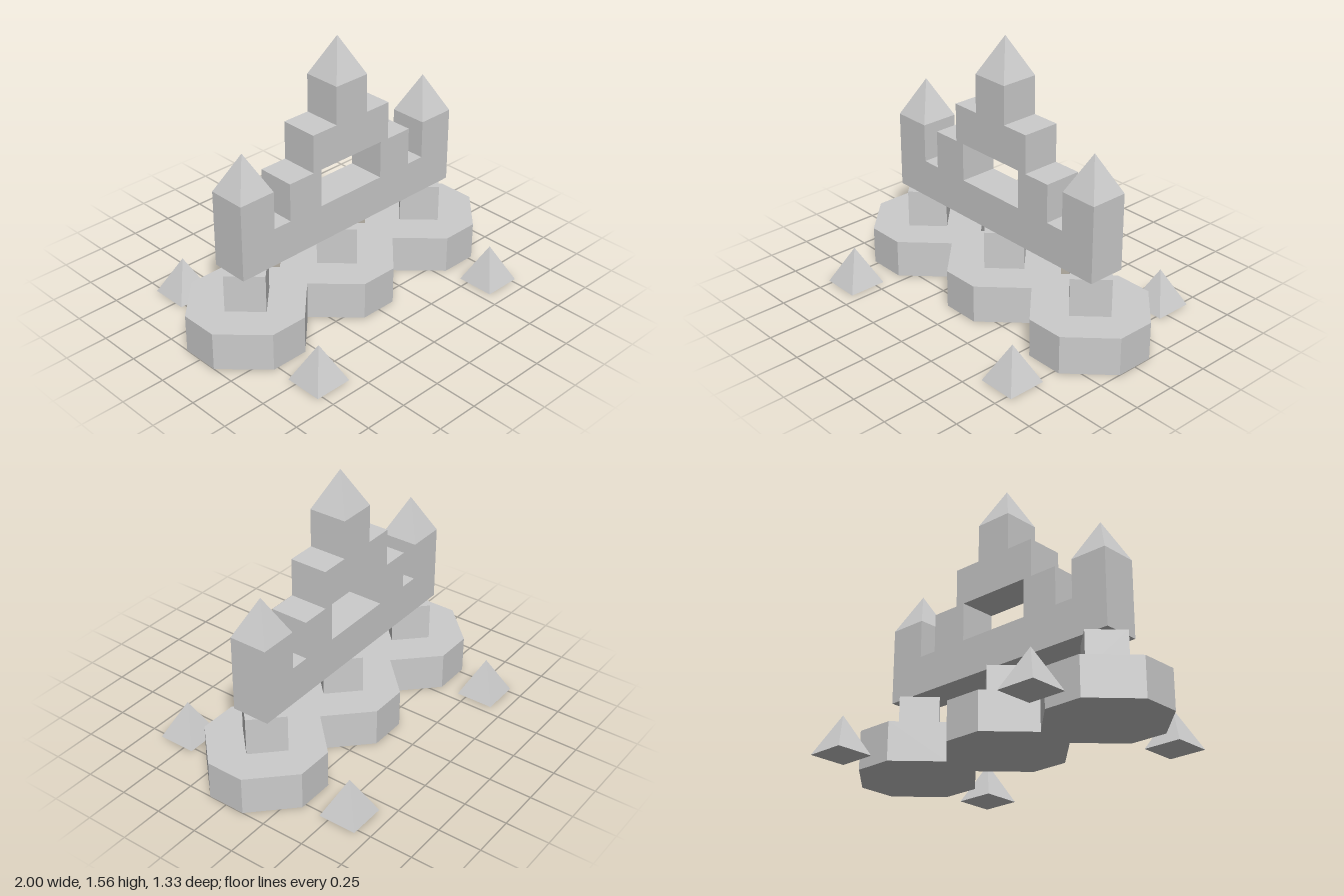
import * as THREE from 'three';

const U = 1 / 9; // building grid unit

export function createModel() {
  const model = new THREE.Group();
  const material = new THREE.MeshStandardMaterial({ color: 0xcccccc, flatShading: true });

  const add = (name, geometry, x, y, z) => {
    const mesh = new THREE.Mesh(geometry, material);
    mesh.name = name;
    mesh.position.set(x * U, y * U, z * U);
    model.add(mesh);
  };
  const polygon = (points) => points.map(([x, y]) => new THREE.Vector2(x * U, y * U));
  const extrude = (shape, depth) =>
    new THREE.ExtrudeGeometry(shape, { depth: depth * U, bevelEnabled: false });

  // Octagonal base slab with cut corners
  const slab = extrude(new THREE.Shape(polygon([
    [3, -1], [3, 1], [1, 3], [-1, 3], [-3, 1], [-3, -1], [-1, -3], [1, -3],
  ])), 2).rotateX(-Math.PI / 2);

  // Square post turned on its corner
  const post = new THREE.BoxGeometry(2 * U, 2 * U, 2 * U).rotateY(Math.PI / 4);

  for (const x of [-6, 0, 6]) {
    add('baseSlab', slab, x, 0, 0);
    add('post', post, x, 3, 0);
  }

  // Stepped castle wall: right half of the outline, mirrored, with a window
  const half = [[7, 4], [7, 8], [5, 8], [5, 6], [4, 6], [4, 8], [2.5, 8], [2.5, 10], [1, 10], [1, 12]];
  const mirrored = half.map(([x, y]) => [-x, y]).reverse();
  const wall = new THREE.Shape(polygon([...half, ...mirrored]));
  wall.holes.push(new THREE.Path(polygon([[-2, 6], [-2, 8], [2, 8], [2, 6]])));
  add('castleWall', extrude(wall, 2), 0, 0, -1);

  // Square pyramids: tower roofs and ground markers
  const pyramid = new THREE.ConeGeometry(Math.SQRT2 * U, 2 * U, 4).rotateY(Math.PI / 4);
  add('centreRoof', pyramid, 0, 13, 0);
  for (const x of [-6, 6]) {
    add('sideRoof', pyramid, x, 9, 0);
    for (const z of [-5, 5]) add('groundPyramid', pyramid, x, 1, z);
  }

  return model;
}
